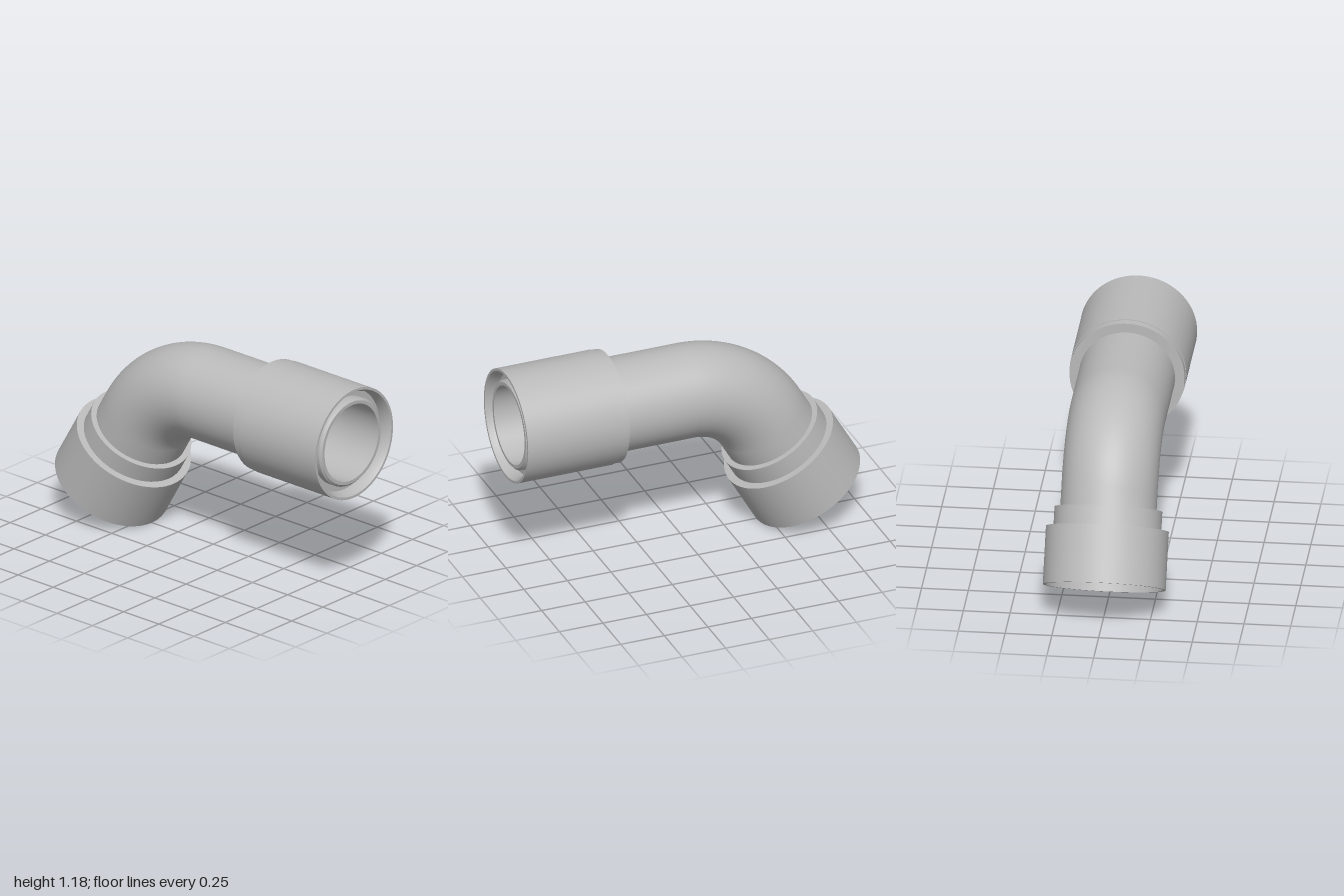
import * as THREE from 'three';
import { toCreasedNormals } from 'three/addons/utils/BufferGeometryUtils.js';

const AXIS_Y = 0.865;      // height of the straight pipe's axis
const BEND_X = -0.026;     // where the bend begins
const BEND_R = 0.5;        // bend radius along the axis
const PIPE_R = 0.256;
const BORE_R = 0.216;
const BEND = Math.PI / 3;

export function createModel() {
  const model = new THREE.Group();
  model.name = 'pipeElbow';
  const grey = new THREE.MeshStandardMaterial({ color: 0xbababa, side: THREE.DoubleSide });
  grey.name = 'grey';

  const add = (parent, name, geometry) => {
    const mesh = new THREE.Mesh(geometry, grey);
    mesh.name = name;
    parent.add(mesh);
    return mesh;
  };
  // turned part from [radius, distance along axis] pairs
  const turned = (points) => toCreasedNormals(
    new THREE.LatheGeometry(points.map(([r, d]) => new THREE.Vector2(r, d)), 72), 0.5);

  // bend: outer skin and bore
  const bend = new THREE.Group();
  bend.name = 'bend';
  bend.position.set(BEND_X, AXIS_Y - BEND_R, 0);
  bend.rotation.z = Math.PI / 2;
  add(bend, 'bendOuter', new THREE.TorusGeometry(BEND_R, PIPE_R, 72, 36, BEND));
  add(bend, 'bendBore', new THREE.TorusGeometry(BEND_R, BORE_R, 72, 36, BEND));
  model.add(bend);

  // straight arm with collar, sleeve and recessed inner pipe end
  const arm = new THREE.Group();
  arm.name = 'straightArm';
  arm.position.set(BEND_X, AXIS_Y, 0);
  arm.rotation.z = -Math.PI / 2;
  const end = 1 - BEND_X;
  add(arm, 'armPipeAndSleeve', turned([
    [PIPE_R, 0], [PIPE_R, 0.441],
    [0.308, 0.441], [0.308, 0.486],
    [0.312, 0.486], [0.312, end],
    [0.298, end], [0.283, end - 0.03], [0.283, end - 0.07],
    [0.246, end - 0.07], [0.246, end - 0.03], [0.234, end - 0.018],
    [BORE_R, end - 0.018], [BORE_R, 0],
  ]));
  model.add(arm);

  // sloping arm with stepped, hollow socket
  const socket = new THREE.Group();
  socket.name = 'lowerArm';
  socket.position.set(
    BEND_X - BEND_R * Math.sin(BEND), AXIS_Y - BEND_R * (1 - Math.cos(BEND)), 0);
  socket.rotation.z = Math.PI / 2 + BEND;
  const len = 0.521;
  add(socket, 'lowerPipeAndSocket', turned([
    [PIPE_R, 0], [PIPE_R, len - 0.416],
    [0.287, len - 0.416], [0.287, len - 0.311],
    [0.327, len - 0.311], [0.327, len],
    [0.313, len], [0.305, len - 0.28],
    [BORE_R, len - 0.28], [BORE_R, 0],
  ]));
  model.add(socket);

  return model;
}
